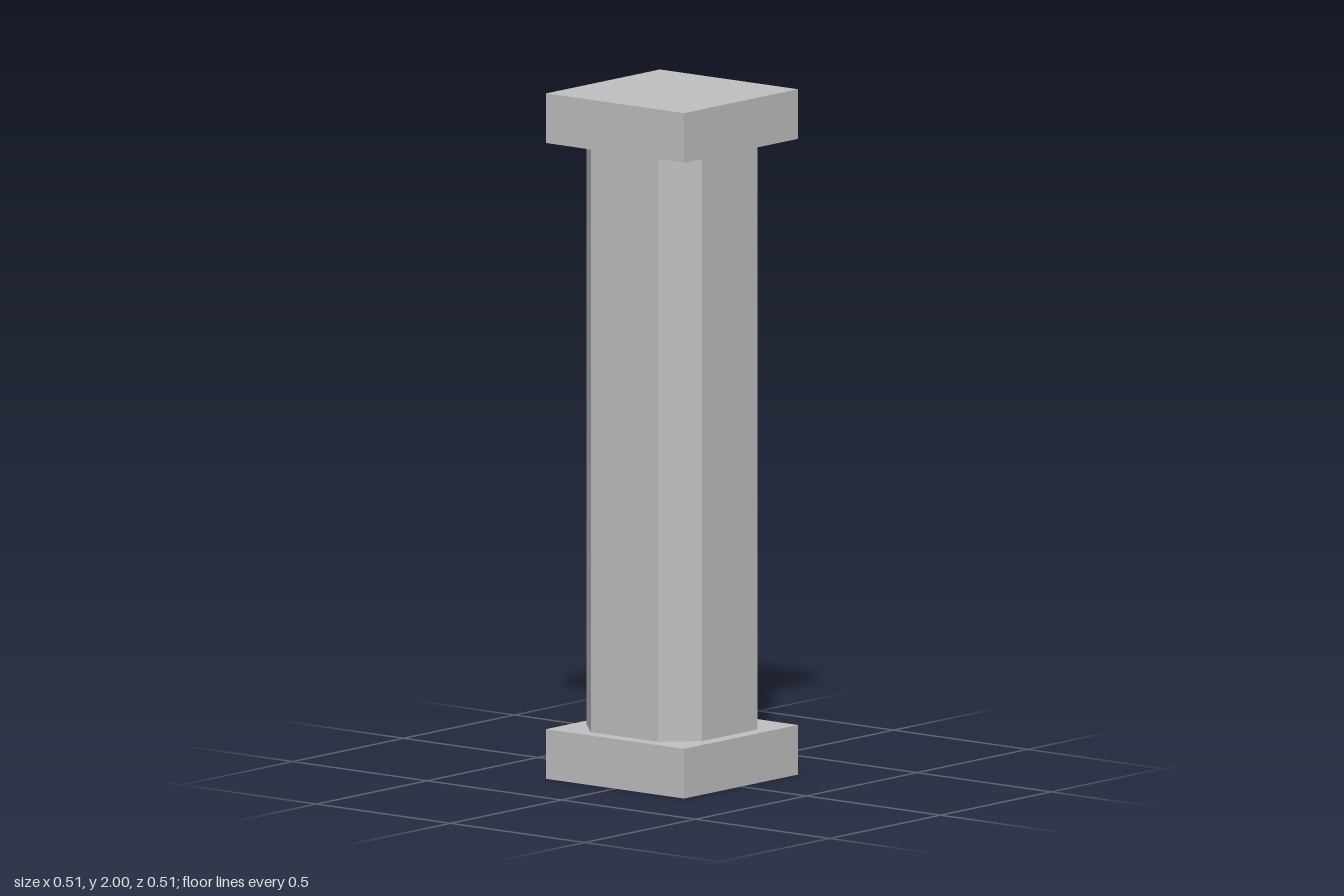
import * as THREE from 'three';

export function createModel() {
  const group = new THREE.Group();
  const stone = new THREE.MeshStandardMaterial({ color: 0xc0c0c0 });
  stone.name = 'grey stone';

  const height = 2, slabWidth = 0.514, slabHeight = 0.145;
  const half = 0.215, flat = 0.125; // shaft half width and half of each broad face

  // Square base and capital slabs
  for (const [name, y] of [['base', slabHeight / 2], ['capital', height - slabHeight / 2]]) {
    const slab = new THREE.Mesh(new THREE.BoxGeometry(slabWidth, slabHeight, slabWidth), stone);
    slab.name = name;
    slab.position.y = y;
    group.add(slab);
  }

  // Square shaft with chamfered corners
  const outline = new THREE.Shape([
    [half, -flat], [half, flat], [flat, half], [-flat, half],
    [-half, flat], [-half, -flat], [-flat, -half], [flat, -half],
  ].map(([x, y]) => new THREE.Vector2(x, y)));
  const shaftGeometry = new THREE.ExtrudeGeometry(outline, {
    depth: height - 2 * slabHeight, bevelEnabled: false,
  });
  shaftGeometry.rotateX(-Math.PI / 2);
  const shaft = new THREE.Mesh(shaftGeometry, stone);
  shaft.name = 'shaft';
  shaft.position.y = slabHeight;
  group.add(shaft);

  return group;
}
